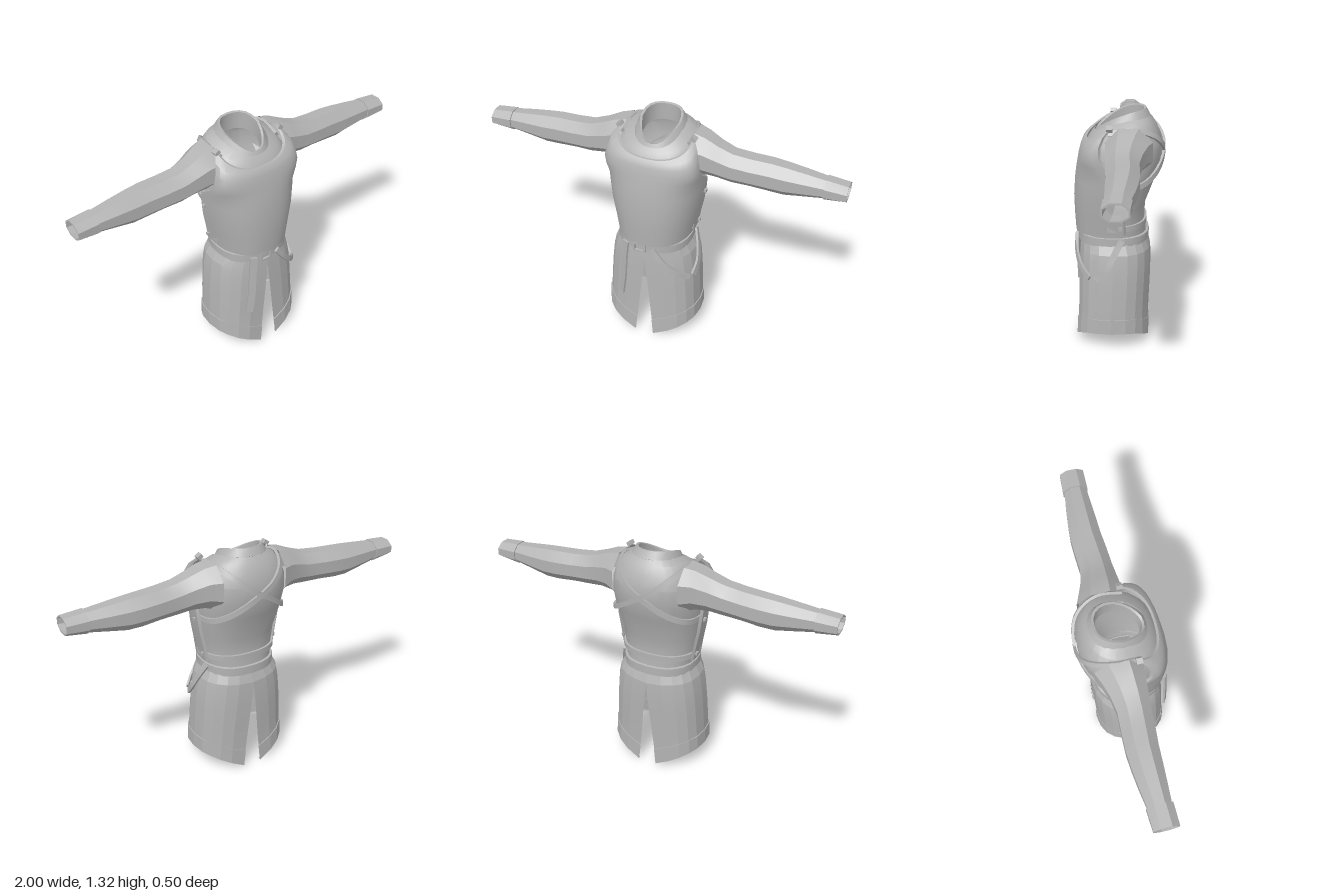
import * as THREE from 'three';
import { toCreasedNormals } from 'three/addons/utils/BufferGeometryUtils.js';

const V = (x, y, z) => new THREE.Vector3(x, y, z);
const PI = Math.PI;
const lerp = THREE.MathUtils.lerp;
const pow = (v, p) => Math.sign(v) * Math.pow(Math.abs(v), p);

// Skin rows of points; closed joins each row's end to its start
function loft(rows, closed, crease = 0.55) {
  const pos = [], idx = [], n = rows[0].length;
  rows.forEach(r => r.forEach(p => pos.push(p.x, p.y, p.z)));
  for (let i = 0; i < rows.length - 1; i++) {
    for (let j = 0; j < (closed ? n : n - 1); j++) {
      const k = (j + 1) % n, a = i * n + j, b = i * n + k;
      idx.push(a, b, b + n, a, b + n, a + n);
    }
  }
  const g = new THREE.BufferGeometry();
  g.setAttribute('position', new THREE.Float32BufferAttribute(pos, 3));
  g.setIndex(idx);
  return toCreasedNormals(g, crease);
}

// Body ring: half width, front z, back z, front y, back y, pointed front
function ringPoint([w, zf, zb, yf, yb], th, off = 0, vee = 0) {
  const c = pow(Math.cos(th), 0.85), s = pow(Math.sin(th), 0.85);
  const t = (c + 1) / 2;
  const x = (w + off) * s * (1 - vee * Math.max(0, c));
  return V(x, lerp(yb, yf, t * t), (zf + zb) / 2 + ((zf - zb) / 2 + off) * c);
}
const ring = (r, n, off = 0, vee = 0) =>
  Array.from({ length: n }, (_, j) => ringPoint(r, (j / n) * 2 * PI, off, vee));

const TORSO = [
  [0.195, 0.2, -0.155, 0.6, 0.6], [0.207, 0.21, -0.145, 0.7, 0.7],
  [0.222, 0.22, -0.15, 0.8, 0.8], [0.24, 0.21, -0.205, 0.95, 0.95],
  [0.245, 0.2, -0.235, 1.05, 1.05], [0.237, 0.188, -0.237, 1.1, 1.14],
  [0.217, 0.168, -0.215, 1.145, 1.21], [0.18, 0.145, -0.19, 1.18, 1.255],
  [0.125, 0.125, -0.165, 1.2, 1.285],
];
// Point on the torso at an angle and height, pushed out a little
function torsoAt(th, y, off) {
  let i = 0;
  while (i < TORSO.length - 2 && TORSO[i + 1][4] < y) i++;
  const a = TORSO[i], b = TORSO[i + 1], t = (y - a[4]) / (b[4] - a[4]);
  return ringPoint(a.map((v, k) => lerp(v, b[k], t)), th, off);
}

// Flat strap following points, facing away from the body axis
function strap(points, width, thick = 0.012, steps = 24) {
  const curve = new THREE.CatmullRomCurve3(points), rows = [];
  for (let i = 0; i <= steps; i++) {
    const p = curve.getPoint(i / steps), t = curve.getTangent(i / steps);
    const n = V(p.x, Math.max(0, p.y - 1.1), p.z + 0.01);
    n.addScaledVector(t, -n.dot(t)).normalize();
    const b = V(0, 0, 0).crossVectors(t, n);
    const row = [[1, -1], [1, 1], [-1, 1], [-1, -1]].map(([u, v]) =>
      p.clone().addScaledVector(n, u * thick / 2).addScaledVector(b, v * width / 2));
    if (i === 0) rows.push(row.map(() => p.clone()));
    rows.push(row);
    if (i === steps) rows.push(row.map(() => p.clone()));
  }
  return loft(rows, true);
}

export function createModel() {
  const model = new THREE.Group();
  model.name = 'armouredTunic';
  const grey = new THREE.MeshStandardMaterial({ color: 0xb3b3b3, side: THREE.DoubleSide });
  grey.name = 'plain grey';
  const add = (name, geo) => {
    const m = new THREE.Mesh(geo, grey);
    m.name = name;
    model.add(m);
    return m;
  };

  // Torso and collar
  add('torso', loft(TORSO.map(r => ring(r, 24)), true, 0.4));
  const collar = [
    [0.122, 0.12, -0.162, 1.16, 1.272], [0.134, 0.14, -0.174, 1.165, 1.28],
    [0.112, 0.112, -0.152, 1.215, 1.32], [0.1, 0.1, -0.14, 1.21, 1.316],
    [0.1, 0.09, -0.14, 1.14, 1.22],
  ];
  add('collar', loft(collar.map(r => ring(r, 20, 0, 0.25)), true));

  // Breastplate rows: half width, front z, edge z, centre y, edge y
  const plate = [
    [0.217, 0.232, -0.04, 0.642, 0.67], [0.232, 0.238, -0.038, 0.75, 0.76],
    [0.25, 0.24, -0.035, 0.85, 0.85], [0.262, 0.233, -0.03, 0.95, 0.95],
    [0.266, 0.226, -0.02, 1.0, 1.0], [0.264, 0.217, 0.055, 1.05, 1.05],
    [0.262, 0.209, 0.09, 1.09, 1.1], [0.252, 0.2, 0.09, 1.125, 1.16],
    [0.235, 0.19, 0.07, 1.15, 1.21], [0.205, 0.178, 0.03, 1.163, 1.25],
  ].map(([w, zf, ze, yc, ye]) => Array.from({ length: 17 }, (_, j) => {
    const u = (j - 8) / 8, a = u * PI / 2;
    return V(w * pow(Math.sin(a), 0.85), lerp(yc, ye, u * u),
      ze + (zf - ze) * pow(Math.max(0, Math.cos(a)), 0.8));
  }));
  // Turned-in border gives the plate its thickness
  const inward = p => V(p.x * 0.95, p.y, p.z - 0.012);
  const rim = plate.map(r => [inward(r[0]), ...r, inward(r[16])]);
  add('breastplate', loft([rim[0].map(inward), ...rim, rim[9].map(inward)], false));

  // Skirt panels, split at front and back
  const SKIRT = [
    [0, 0.268, 0.228, -0.172], [0.16, 0.266, 0.224, -0.172], [0.35, 0.261, 0.221, -0.176],
    [0.55, 0.255, 0.219, -0.181], [0.75, 0.245, 0.215, -0.184],
    [0.87, 0.233, 0.211, -0.181], [1, 0.198, 0.204, -0.155],
  ];
  const skirtRow = ([v, w, zf, zb], side, off) => Array.from({ length: 11 }, (_, j) => {
    const th = side * PI + (j / 10) * PI, sg = side ? -1 : 1;
    const slit = 0.055 * Math.max(0, 1 - v / 0.86);
    const s = Math.pow(Math.abs(Math.sin(th)), 0.85);
    const x = slit + (w + off - slit) * s;
    const hem = 0.1 * Math.min(1, Math.max(0, x - slit) / 0.2);
    return V(sg * x, lerp(hem, 0.62, v),
      (zf + zb) / 2 + ((zf - zb) / 2 + off) * pow(Math.cos(th), 0.8));
  });
  for (const side of [0, 1]) {
    add('skirtPanel', loft(SKIRT.map(r => skirtRow(r, side, 0)), false, 0.2));
    const [lo, hi] = SKIRT;
    add('hemBand', loft([skirtRow(lo, side, -0.012), skirtRow(lo, side, 0.005),
      skirtRow(hi, side, 0.005), skirtRow(hi, side, -0.002)], false, 0.2));
  }

  // Sleeves and cuffs: x, top y, bottom y, front z, back z
  const SLEEVE = [
    [0.19, 1.25, 1.0, 0.06, -0.19], [0.25, 1.237, 1.02, 0.055, -0.165],
    [0.32, 1.207, 1.02, 0.05, -0.14], [0.4, 1.18, 1.01, 0.045, -0.125],
    [0.5, 1.17, 1.008, 0.04, -0.13], [0.6, 1.166, 1.0, 0.032, -0.132],
    [0.68, 1.16, 0.998, 0.03, -0.126], [0.78, 1.15, 1.015, 0.026, -0.115],
    [0.9, 1.137, 1.035, 0.02, -0.097],
  ];
  const CUFF = [
    [0.885, 1.135, 1.035, 0.02, -0.098], [0.885, 1.143, 1.028, 0.028, -0.106],
    [1, 1.133, 1.043, 0.03, -0.1], [1, 1.125, 1.051, 0.022, -0.092],
    [0.9, 1.128, 1.042, 0.014, -0.09],
  ];
  const limb = (data, sg) => {
    const rows = data.map(([x, yt, yb, zf, zb]) => Array.from({ length: 8 }, (_, j) => {
      const a = (j + 0.5) / 8 * 2 * PI;
      return V(sg * x, (yt + yb) / 2 + (yt - yb) / 2 * Math.cos(a) * 1.08,
        (zf + zb) / 2 + (zf - zb) / 2 * Math.sin(a) * 1.08);
    }));
    return loft(sg < 0 ? rows.reverse() : rows, true, 0.5);
  };

  for (const sg of [1, -1]) {
    add('sleeve', limb(SLEEVE, sg));
    add('cuff', limb(CUFF, sg));
    // Harness strap over one shoulder, across the back, under the other arm
    const path = [[0.4, 1.25], [0.6, 1.245], [0.8, 1.2], [0.92, 1.14], [1.03, 1.07],
      [1.18, 0.99], [1.33, 0.945], [1.52, 0.93]]
      .map(([t, y]) => torsoAt(sg * t * PI, y, sg > 0 ? 0.008 : 0.011));
    add('harnessStrap', strap(path, 0.028, 0.014, 36));
    // Rivets along the plate edge and shoulder buckle
    for (const [x, y, z] of [[0.262, 0.92, -0.005], [0.228, 0.71, -0.022]]) {
      add('rivet', new THREE.BoxGeometry(0.016, 0.018, 0.018)).position.set(sg * x, y, z);
    }
    const buckle = add('shoulderBuckle', new THREE.BoxGeometry(0.03, 0.022, 0.032));
    buckle.position.set(sg * 0.205, 1.25, 0.035);
    buckle.rotation.z = -sg * 0.6;
  }

  // Strap closing the plate round the back of the waist
  const waist = Array.from({ length: 13 }, (_, i) => torsoAt((0.48 + 1.04 * i / 12) * PI, 0.7, 0.008));
  add('waistStrap', strap(waist, 0.03, 0.012, 36));

  // Belt, buckle and hanging ends
  const belt = [[0.59, -0.012], [0.595, 0], [0.642, 0], [0.645, -0.012]]
    .map(([y, off]) => ring([0.208, 0.22, -0.172, y, y], 24, off));
  add('belt', loft(belt, true));
  for (const x of [-0.055, 0.005]) {
    add('buckleSide', new THREE.BoxGeometry(0.01, 0.056, 0.016)).position.set(x, 0.617, 0.222);
  }
  for (const y of [0.594, 0.64]) {
    add('buckleBar', new THREE.BoxGeometry(0.07, 0.01, 0.016)).position.set(-0.025, y, 0.222);
  }
  add('beltEnd', strap([V(-0.105, 0.635, 0.222), V(-0.115, 0.52, 0.225),
    V(-0.122, 0.4, 0.228), V(-0.138, 0.265, 0.226)], 0.04));
  add('frontHanger', strap([V(0.05, 0.62, 0.226), V(0.11, 0.54, 0.222),
    V(0.18, 0.47, 0.193), V(0.238, 0.425, 0.145)], 0.03));
  add('sideHanger', strap([V(0.212, 0.64, -0.03), V(0.24, 0.56, 0.01),
    V(0.256, 0.48, 0.055), V(0.25, 0.42, 0.11)], 0.034));

  return model;
}
